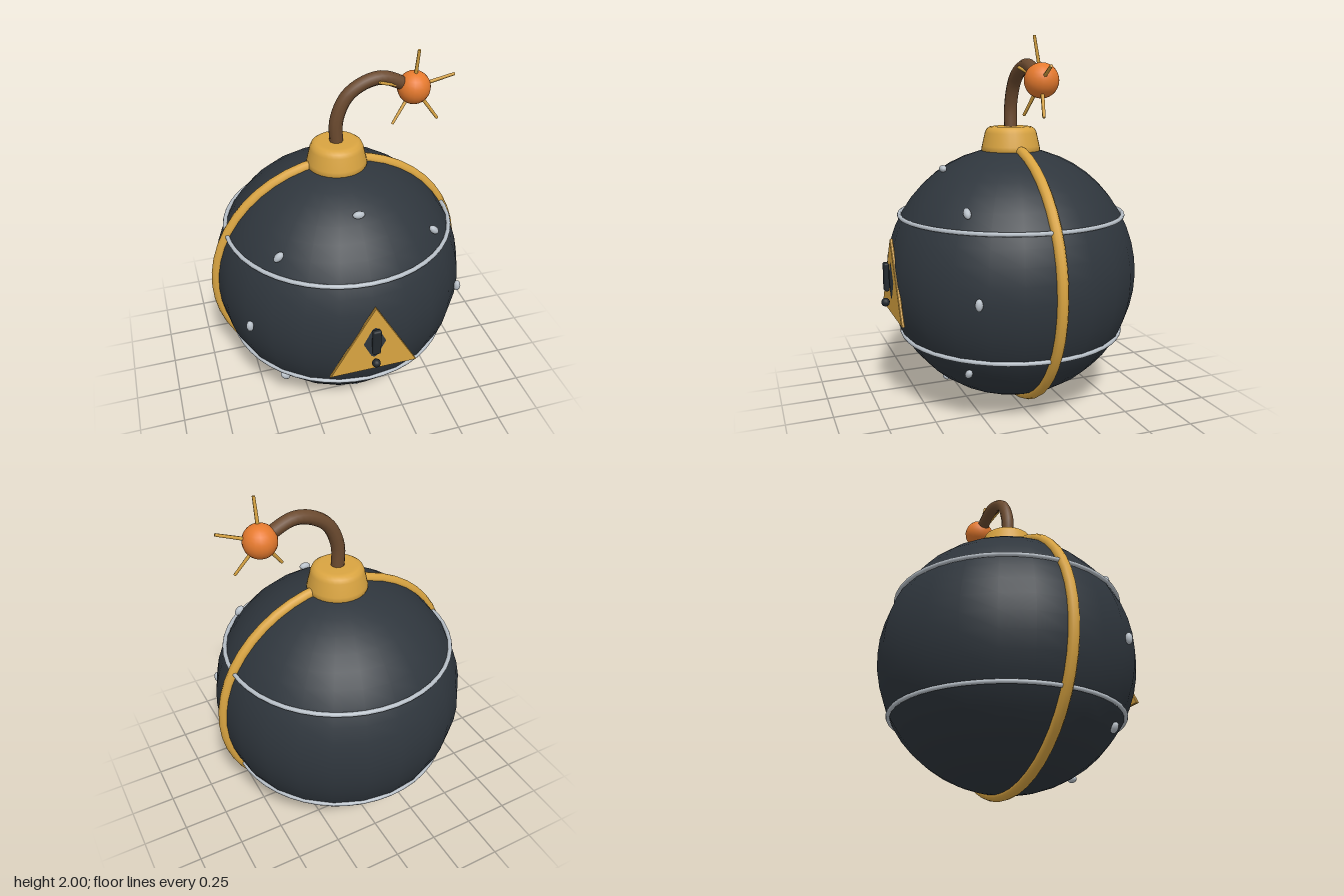
import * as THREE from 'three';
import { RoundedBoxGeometry } from 'three/addons/geometries/RoundedBoxGeometry.js';

const CY = 0.732, CZ = -0.021, R = 0.695; // body centre and radius

const mat = (color) => new THREE.MeshStandardMaterial({ color });

export function createModel() {
  const model = new THREE.Group();
  const dark = mat(0x2f363d), gold = mat(0xd9a441), steel = mat(0xb8c0c8);
  const brown = mat(0x6b4a2f), orange = mat(0xe67a2e), black = mat(0x22282d);

  const add = (name, geometry, material, x = 0, y = 0, z = 0, parent = model) => {
    const mesh = new THREE.Mesh(geometry, material);
    mesh.name = name;
    mesh.position.set(x, y, z);
    parent.add(mesh);
    return mesh;
  };

  // Round body and the vertical band around it
  add('body', new THREE.SphereGeometry(R, 24, 24), dark, 0, CY, CZ);
  add('verticalBand', new THREE.TorusGeometry(0.698, 0.029, 10, 48), gold, 0, CY, CZ);

  // Two thin horizontal hoops
  for (const side of [-1, 1]) {
    const hoop = add(side > 0 ? 'upperHoop' : 'lowerHoop',
      new THREE.TorusGeometry(0.618, 0.012, 8, 48), steel, 0, 0.737 + side * 0.327, CZ);
    hoop.rotation.x = Math.PI / 2;
  }

  // Ring of eight rivets on the front half
  const rivets = new THREE.Group();
  rivets.name = 'rivets';
  model.add(rivets);
  const rivetGeo = new THREE.SphereGeometry(0.032, 10, 8);
  for (let i = 0; i < 8; i++) {
    const a = (i * Math.PI) / 4;
    const rivet = add('rivet', rivetGeo, steel,
      0.587 * Math.cos(a), 0.735 + 0.587 * Math.sin(a), 0.367, rivets);
    rivet.scale.set(0.62, 1, 0.62);
    rivet.rotation.z = a;
  }

  // Collar on top, rounded at its upper rim
  const collar = [[0.15, 1.39], [0.162, 1.415], [0.158, 1.435], [0.142, 1.505],
    [0.133, 1.525], [0.116, 1.537], [0.095, 1.54], [0, 1.54]];
  add('collar', new THREE.LatheGeometry(collar.map(([r, y]) => new THREE.Vector2(r, y)), 32),
    gold, 0, 0, CZ);

  // Curved fuse
  const path = new THREE.CatmullRomCurve3(
    [[0, 1.5], [0, 1.66], [0.068, 1.795], [0.225, 1.86], [0.415, 1.785]]
      .map(([x, y]) => new THREE.Vector3(x, y, 0)));
  add('fuse', new THREE.TubeGeometry(path, 24, 0.036, 10), brown, 0, 0, CZ);

  // Glowing spark with five rays leaning slightly forward
  const spark = new THREE.Group();
  spark.name = 'spark';
  spark.position.set(0.415, 1.785, CZ);
  model.add(spark);
  add('sparkBall', new THREE.SphereGeometry(0.087, 20, 14), orange, 0, 0, 0, spark);
  const rayGeo = new THREE.CylinderGeometry(0.008, 0.01, 0.17, 6);
  for (let i = 0; i < 5; i++) {
    const a = Math.PI / 2 + (i * Math.PI * 2) / 5;
    const dir = new THREE.Vector3(Math.cos(a), Math.sin(a), 0.19).normalize();
    const ray = add('sparkRay', rayGeo, gold, 0, 0, 0, spark);
    ray.position.copy(dir).multiplyScalar(0.133);
    ray.quaternion.setFromUnitVectors(new THREE.Vector3(0, 1, 0), dir);
  }

  // Warning sign: triangular plate, bar and dot
  const triangle = new THREE.Shape([[-0.233, 0.549], [0.233, 0.549], [0, 0.957]]
    .map(([x, y]) => new THREE.Vector2(x, y)));
  add('signPlate', new THREE.ExtrudeGeometry(triangle, {
    depth: 0.009, bevelEnabled: true, bevelThickness: 0.004, bevelSize: 0.004, bevelSegments: 1,
  }), gold, 0, 0, 0.653);
  add('signBar', new THREE.CapsuleGeometry(0.023, 0.11, 4, 10), black, 0, 0.758, 0.691)
    .geometry = new RoundedBoxGeometry(0.046, 0.155, 0.028, 2, 0.01);
  add('signDot', new THREE.SphereGeometry(0.023, 12, 10), black, 0, 0.617, 0.698);

  return model;
}
